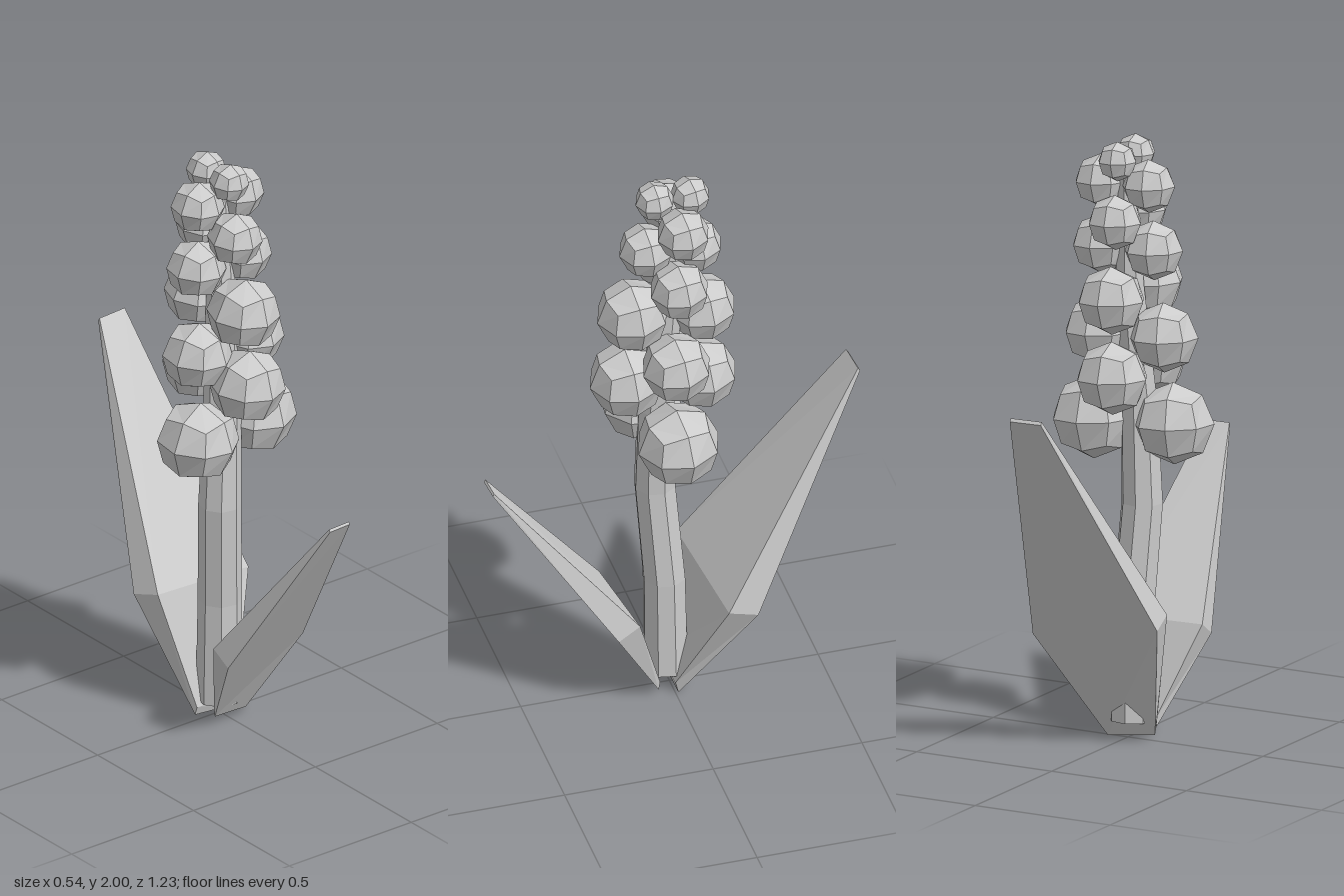
import * as THREE from 'three';

const material = new THREE.MeshStandardMaterial({ color: 0xcccccc, flatShading: true });

// Skins a stack of rings (each counter-clockwise seen from above) and caps both ends
function loft(rings) {
  const n = rings[0].length, last = (rings.length - 1) * n, index = [];
  for (let i = 0; i < rings.length - 1; i++) {
    for (let j = 0; j < n; j++) {
      const a = i * n + j, b = i * n + (j + 1) % n;
      index.push(a, b, b + n, a, b + n, a + n);
    }
  }
  for (let j = 1; j < n - 1; j++) {
    index.push(0, j + 1, j, last, last + j, last + j + 1);
  }
  const geometry = new THREE.BufferGeometry();
  geometry.setAttribute('position', new THREE.Float32BufferAttribute(rings.flat(2), 3));
  geometry.setIndex(index);
  geometry.computeVertexNormals();
  return geometry;
}

// Cube with 2 x 2 faces per side, pushed out to a unit sphere
function budGeometry() {
  const geometry = new THREE.BoxGeometry(2, 2, 2, 2, 2, 2);
  const p = geometry.attributes.position, v = new THREE.Vector3();
  for (let i = 0; i < p.count; i++) {
    v.fromBufferAttribute(p, i).normalize();
    p.setXYZ(i, v.x, v.y, v.z);
  }
  geometry.computeVertexNormals();
  return geometry;
}

export function createModel() {
  const model = new THREE.Group();
  const add = (name, geometry, parent = model) => {
    const mesh = new THREE.Mesh(geometry, material);
    mesh.name = name;
    parent.add(mesh);
    return mesh;
  };

  // Gently bent, tapering stem: x, y, z, radius
  const stem = [
    [-0.01, 0.06, 0.01, 0.075],
    [-0.01, 0.42, 0.015, 0.072],
    [-0.03, 0.78, 0.04, 0.07],
    [-0.02, 1.1, 0.04, 0.062],
    [0, 1.5, 0.01, 0.05],
    [0, 1.88, -0.01, 0.03],
  ];
  add('stem', loft(stem.map(([x, y, z, r]) => Array.from({ length: 8 }, (_, i) => {
    const a = (i + 0.25) * Math.PI / 4;
    return [x + r * Math.cos(a), y, z - r * Math.sin(a)];
  }))));

  // Leaves: base, widest section, tip
  add('backLeaf', loft([
    [[-0.1, 0.05, 0.01], [0.07, 0.04, 0], [0.07, 0, -0.01], [-0.1, 0.02, 0]],
    [[-0.19, 0.45, -0.08], [0.225, 0.4, -0.135], [0.22, 0.37, -0.235], [-0.21, 0.42, -0.18]],
    [[-0.02, 1.19, -0.6], [0.09, 1.19, -0.608], [0.09, 1.18, -0.615], [-0.02, 1.18, -0.607]],
  ]));
  add('frontLeaf', loft([
    [[-0.07, 0.03, 0.065], [0.065, 0.02, 0.055], [0.065, 0.05, 0.05], [-0.07, 0.06, 0.06]],
    [[-0.165, 0.31, 0.255], [0.17, 0.32, 0.22], [0.16, 0.36, 0.145], [-0.17, 0.355, 0.185]],
    [[-0.03, 0.905, 0.615], [0.055, 0.905, 0.61], [0.055, 0.913, 0.605], [-0.03, 0.913, 0.61]],
  ]));

  // Flower buds in alternating side and front/back pairs: x, y, z, radius, yaw
  const buds = [
    [-0.135, 1.05, 0.06, 0.135, 0.3], [0.135, 1.05, 0.01, 0.138, 0.1],
    [0, 1.24, 0.145, 0.125, 0.05], [0, 1.22, -0.105, 0.12, 0.1],
    [-0.115, 1.34, 0.03, 0.115, 0.3], [0.113, 1.34, 0.01, 0.115, 0.1],
    [0, 1.495, 0.125, 0.12, 0.05], [0, 1.48, -0.11, 0.112, 0.1],
    [-0.095, 1.635, 0, 0.098, 0.25], [0.095, 1.635, -0.005, 0.098, 0.1],
    [0, 1.745, 0.08, 0.09, 0.05], [0, 1.735, -0.085, 0.09, 0.1],
    [-0.082, 1.85, -0.01, 0.088, 0.25], [0.088, 1.85, -0.02, 0.088, 0.1],
    [0, 1.936, 0.05, 0.065, 0.05], [0, 1.935, -0.07, 0.065, 0.15],
  ];
  const flower = new THREE.Group();
  flower.name = 'flowerHead';
  model.add(flower);
  const bud = budGeometry();
  for (const [x, y, z, r, yaw] of buds) {
    const mesh = add('bud', bud, flower);
    mesh.position.set(x, y, z);
    mesh.scale.setScalar(r);
    mesh.rotation.set(0.06, yaw, -0.05);
  }
  return model;
}
